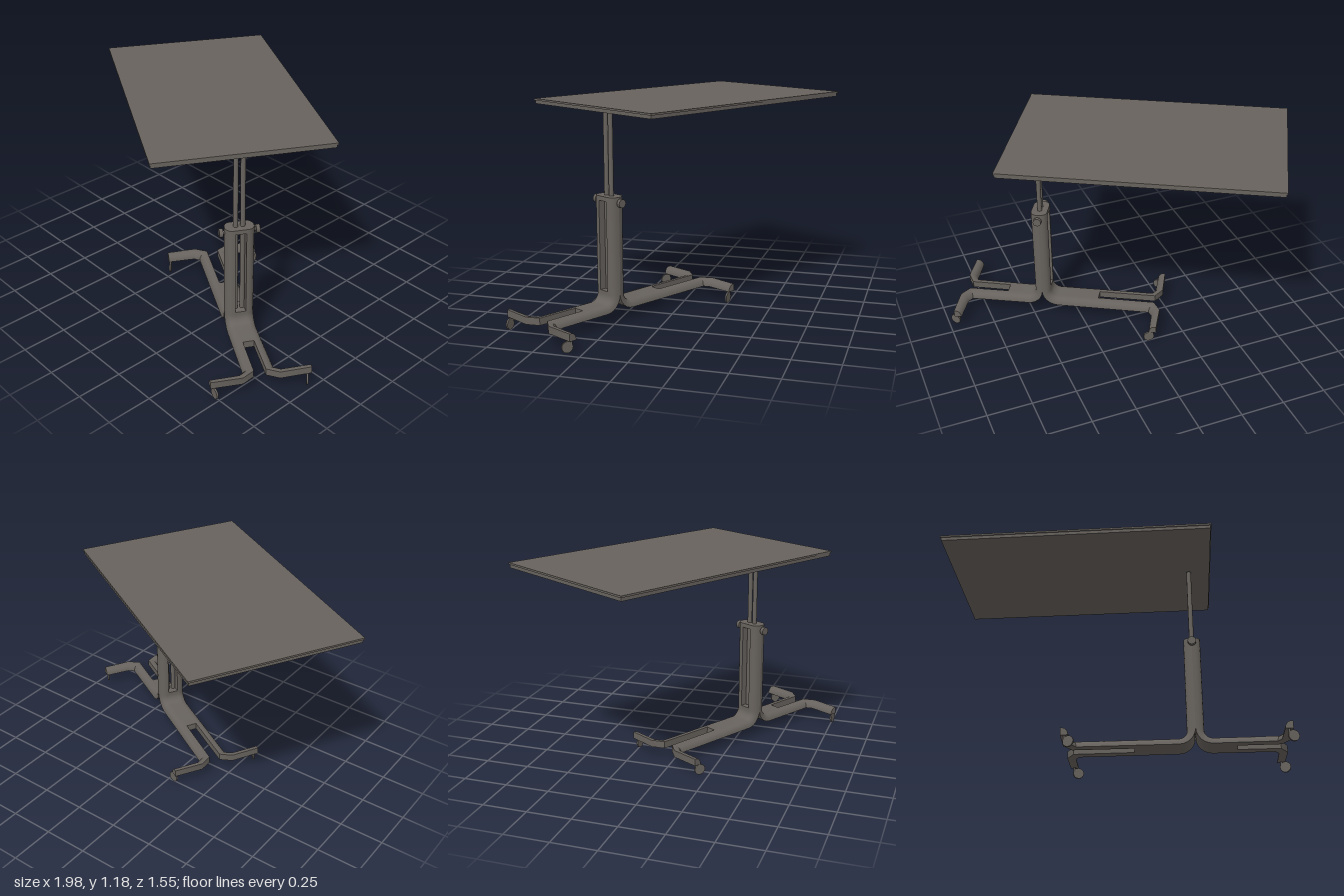
import * as THREE from 'three';
import { toCreasedNormals } from 'three/addons/utils/BufferGeometryUtils.js';

const metal = new THREE.MeshStandardMaterial({ color: 0x67625d });
metal.name = 'warm grey';

function add(parent, geometry, name, x = 0, y = 0, z = 0) {
  const mesh = new THREE.Mesh(geometry, metal);
  mesh.name = name;
  mesh.position.set(x, y, z);
  parent.add(mesh);
  return mesh;
}

// Station of a sweep: position, sideways axis, outward axis, thickness.
const station = (p, side, out, t) => ({ p, side, out, t });

// Closed solid from a convex section [s, n] (n from 0 to 1) carried through stations.
// d and e mirror the solid along x and z.
function sweep(stations, section, d, e) {
  const k = section.length, pos = [], idx = [];
  for (const { p, side, out, t } of stations) {
    for (const [s, n] of section) {
      const q = p.map((c, i) => c + s * side[i] + n * t * out[i]);
      pos.push(q[0] * d, q[1], q[2] * e);
    }
  }
  for (let i = 0; i < stations.length - 1; i++) {
    for (let j = 0; j < k; j++) {
      const a = i * k + j, b = i * k + (j + 1) % k;
      idx.push(a, b, a + k, b, b + k, a + k);
    }
  }
  const last = (stations.length - 1) * k;
  for (let j = 1; j < k - 1; j++) {
    idx.push(0, j + 1, j, last, last + j, last + j + 1);
  }
  // Turn the faces outward if the enclosed volume is negative
  const v = (i) => new THREE.Vector3().fromArray(pos, i * 3);
  let volume = 0;
  for (let i = 0; i < idx.length; i += 3) {
    volume += v(idx[i]).dot(v(idx[i + 1]).cross(v(idx[i + 2])));
  }
  if (volume < 0) idx.reverse();
  const g = new THREE.BufferGeometry();
  g.setAttribute('position', new THREE.Float32BufferAttribute(pos, 3));
  g.setIndex(idx);
  return toCreasedNormals(g, 0.6);
}

const tineSection = [[-0.025, 0], [0.025, 0], [0.022, 0.38], [0.014, 0.7], [0.003, 0.92], [-0.012, 1], [-0.025, 1]];
const webSection = [[-0.031, 0], [0.031, 0], [0.031, 1], [-0.031, 1]];
const Z = [0, 0, 1];

// Quarter bend from the upright into the horizontal leg
function bend(z) {
  const R = 0.09, list = [];
  for (let i = 0; i <= 6; i++) {
    const a = (i / 6) * Math.PI / 2, c = Math.cos(a), s = Math.sin(a);
    list.push(station([R - R * c, 0.155 - R * s, z], Z, [c, s, 0], 0.046 - 0.001 * i));
  }
  return list;
}

function createModel() {
  const model = new THREE.Group();
  model.name = 'overbedTable';
  const table = new THREE.Group();
  table.name = 'turnedTable';
  table.position.set(0.4125, 0, 0.3);
  table.rotation.y = -29.5 * Math.PI / 180;
  model.add(table);

  // Cantilevered top with a slightly inset lower layer
  add(table, new THREE.BoxGeometry(1.482, 0.01, 0.94), 'tableTop', -0.616, 1.173, 0);
  add(table, new THREE.BoxGeometry(1.472, 0.019, 0.93), 'tableTopUnderside', -0.616, 1.1595, 0);

  // Twin rods rising out of the column
  for (const e of [-1, 1]) {
    add(table, new THREE.CylinderGeometry(0.013, 0.013, 1.0, 20), 'postRod', 0, 0.64, e * 0.019);
  }

  // Two bent halves make the slotted column and the forked legs
  for (const [d, U, fork] of [[1, 0.47, 0.22], [-1, 0.68, 0.33]]) {
    const half = new THREE.Group();
    half.name = d > 0 ? 'frontHalf' : 'rearHalf';
    table.add(half);
    const up = [0, 1, 0];
    const topStation = (y, z) => station([0, y, z], Z, [1, 0, 0], 0.046);

    // Webs close the slots at the column top and around the bend
    add(half, sweep([topStation(0.69, 0), topStation(0.665, 0)], webSection, d, 1), 'columnTopWeb');
    add(half, sweep([topStation(0.17, 0), ...bend(0), station([fork, 0.065, 0], Z, up, 0.04)],
      webSection, d, 1), 'legWeb');

    for (const e of [-1, 1]) {
      // Side of the column, leg tine and turned-out foot
      const z = 0.0545;
      const path = [
        topStation(0.69, z), ...bend(z),
        station([U - 0.03, 0.065, 0.057], [-0.52, 0, 1], up, 0.04),
        station([U, 0.065, 0.105], [-0.95, 0, 0.3], up, 0.04),
        station([U, 0.065, 0.265], [-0.85, 0, 0], up, 0.04),
      ];
      add(half, sweep(path, tineSection, d, e), 'columnSideAndLeg');

      // Caster, trailing towards the front end
      const caster = new THREE.Group();
      caster.name = 'caster';
      caster.position.set(d * U, 0, e * 0.25);
      caster.rotation.y = d * e * 18 * Math.PI / 180;
      half.add(caster);
      add(caster, new THREE.CylinderGeometry(0.006, 0.006, 0.035, 10), 'casterStem', 0, 0.056, 0);
      add(caster, new THREE.BoxGeometry(0.03, 0.012, 0.008), 'casterFork', 0.012, 0.042, 0);
      add(caster, new THREE.CylinderGeometry(0.03, 0.03, 0.01, 24), 'casterWheel', 0.022, 0.032, 0)
        .rotation.x = Math.PI / 2;
    }
  }

  // Clamp knobs on both sides of the column
  for (const e of [-1, 1]) {
    add(table, new THREE.CylinderGeometry(0.01, 0.01, 0.03, 12), 'knobBolt', 0, 0.66, e * 0.08)
      .rotation.x = Math.PI / 2;
    add(table, new THREE.CylinderGeometry(0.023, 0.023, 0.02, 20), 'clampKnob', 0, 0.66, e * 0.098)
      .rotation.x = Math.PI / 2;
  }
  return model;
}

export { createModel };
